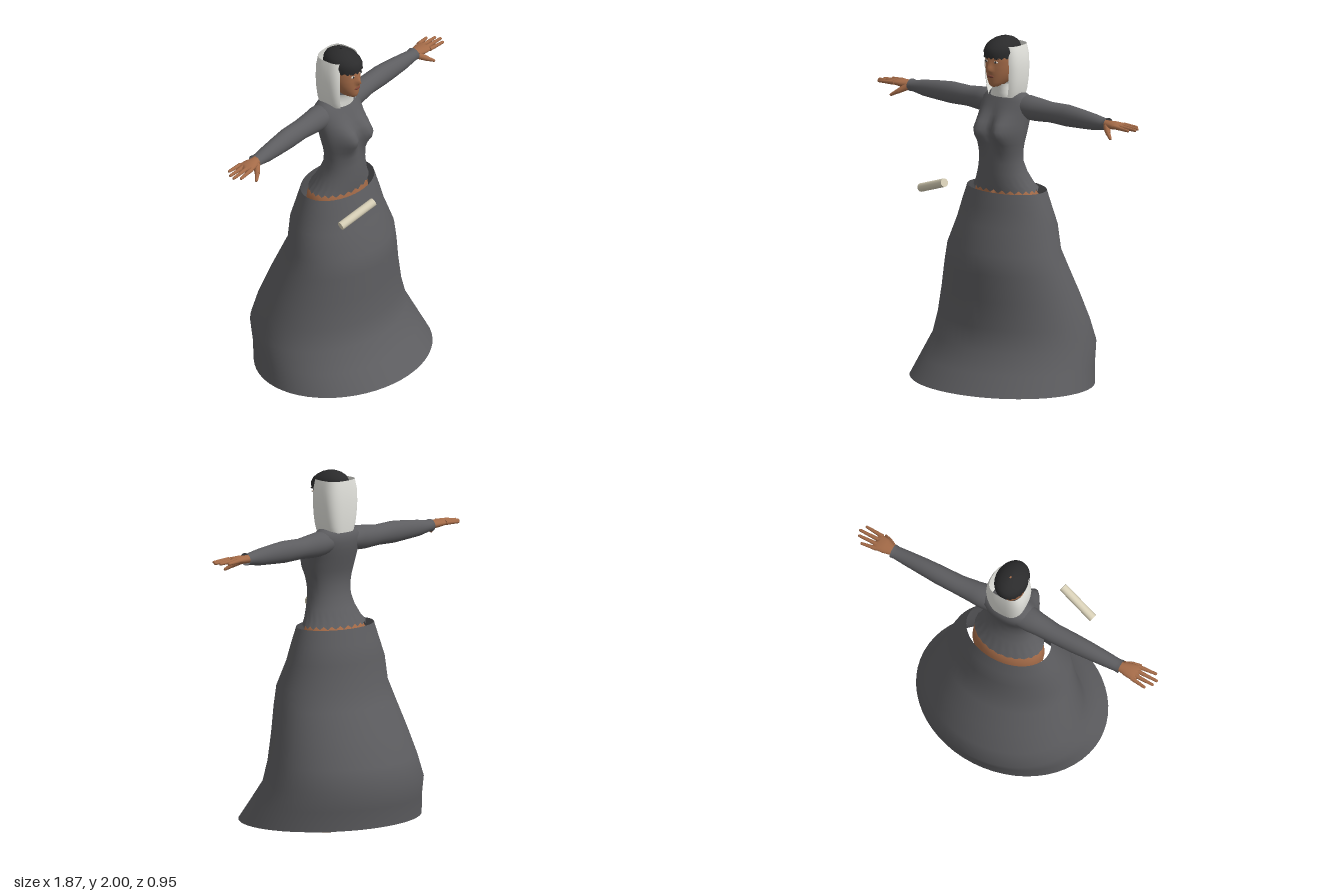
import * as THREE from 'three';

const mat = (name, color, side = THREE.FrontSide) => {
  const m = new THREE.MeshStandardMaterial({ color, side });
  m.name = name;
  return m;
};

// Skins a grid of points made by point(row, column); wraps around when closed
function skin(rows, cols, point, closed = true, caps = false) {
  const pos = [], idx = [], span = closed ? cols : cols - 1;
  for (let i = 0; i < rows; i++)
    for (let j = 0; j < cols; j++) pos.push(...point(i, j));
  for (let i = 0; i < rows - 1; i++)
    for (let j = 0; j < span; j++) {
      const a = i * cols + j, b = i * cols + (j + 1) % cols;
      idx.push(a, b, a + cols, b, b + cols, a + cols);
    }
  if (caps) {
    const last = (rows - 1) * cols;
    for (let j = 1; j < cols - 1; j++) idx.push(0, j + 1, j, last, last + j, last + j + 1);
  }
  const g = new THREE.BufferGeometry();
  g.setAttribute('position', new THREE.Float32BufferAttribute(pos, 3));
  g.setIndex(idx);
  g.computeVertexNormals();
  return g;
}

// Upright loft from rings of [y, half width, front z, back z, centre x]
function upright(rings, { cols = 32, side = 1, power = 1, bend = null, caps = false } = {}) {
  const soft = v => Math.sign(v) * Math.abs(v) ** power;
  return skin(rings.length, cols, (i, j) => {
    const [y, rx, zf, zb, cx = 0] = rings[i], a = j / cols * Math.PI * 2;
    const p = [side * cx + rx * soft(Math.sin(a)), y, (zf + zb) / 2 + (zf - zb) / 2 * soft(Math.cos(a))];
    if (bend) bend(p, i, j);
    return p;
  }, true, caps);
}

// Sideways loft from rings of [x, y, z, half height, half depth]
const sideways = (rings, side, cols = 20, caps = false) => skin(rings.length, cols, (i, j) => {
  const [x, y, z, ry, rz] = rings[i], a = j / cols * Math.PI * 2;
  return [side * x, y + ry * Math.cos(a), z + side * rz * Math.sin(a)];
}, true, caps);

const bump = (d, s) => Math.exp(-(d * d) / (s * s));

export function createModel() {
  const model = new THREE.Group();
  model.name = 'womanInLongDress';
  const cloth = mat('greyCloth', 0x5d5d60, THREE.DoubleSide);
  const linen = mat('whiteLinen', 0xe4e4de, THREE.DoubleSide);
  const flesh = mat('skin', 0xa46b48);
  const hairMat = mat('blackHair', 0x2b2b2c, THREE.DoubleSide);
  const leather = mat('brownLeather', 0x553c2a);
  const cream = mat('creamRod', 0xd9d1b8);
  const lipMat = mat('lips', 0x7f4536);
  const eyeMat = mat('eyeWhite', 0xcfc6bc);

  const add = (name, geometry, material, parent = model) => {
    const m = new THREE.Mesh(geometry, material);
    m.name = name;
    parent.add(m);
    return m;
  };
  const between = (name, a, b, r1, r2, material, parent = model) => {
    const p = new THREE.Vector3(...a), q = new THREE.Vector3(...b), d = q.clone().sub(p);
    const m = add(name, new THREE.CylinderGeometry(r2, r1, d.length(), 14), material, parent);
    m.position.copy(p).add(q).multiplyScalar(0.5);
    m.quaternion.setFromUnitVectors(new THREE.Vector3(0, 1, 0), d.normalize());
    return m;
  };
  const blob = (name, x, y, z, sx, sy, sz, material, parent = model) => {
    const m = add(name, new THREE.SphereGeometry(1, 14, 10), material, parent);
    m.position.set(x, y, z);
    m.scale.set(sx, sy, sz);
    return m;
  };

  // Skirt: open shell, kicked forward at the hem and full at the back
  add('skirt', upright([
    [0.06, 0.55, 0.475, -0.435], [0.17, 0.52, 0.39, -0.447], [0.28, 0.491, 0.31, -0.475],
    [0.4, 0.459, 0.282, -0.438], [0.55, 0.419, 0.272, -0.375], [0.7, 0.379, 0.27, -0.305],
    [0.81, 0.35, 0.26, -0.253], [0.95, 0.312, 0.2, -0.245], [1.05, 0.28, 0.175, -0.215],
    [1.14, 0.25, 0.15, -0.19]], { cols: 56 }), cloth);

  // Bodice with bust and ragged lower edge
  add('bodice', upright([
    [1.135, 0.205, 0.125, -0.15], [1.18, 0.18, 0.128, -0.13], [1.24, 0.152, 0.13, -0.097],
    [1.3, 0.137, 0.128, -0.073], [1.36, 0.139, 0.125, -0.065], [1.41, 0.147, 0.12, -0.068],
    [1.45, 0.154, 0.116, -0.078], [1.49, 0.158, 0.112, -0.09], [1.53, 0.16, 0.104, -0.102],
    [1.57, 0.165, 0.09, -0.113], [1.61, 0.17, 0.075, -0.12], [1.645, 0.165, 0.058, -0.118],
    [1.67, 0.135, 0.045, -0.105], [1.685, 0.1, 0.035, -0.085], [1.7, 0.06, 0.03, -0.06]], {
    cols: 48,
    bend: (p, i, j) => {
      if (i === 0) p[1] += (j % 2) * 0.018;
      if (p[2] > 0) p[2] += 0.072 * bump(Math.abs(p[0]) - 0.075, 0.06) * bump(p[1] - 1.485, 0.075);
    } }), cloth);

  // Hips hidden inside the skirt
  add('hips', upright([
    [0.82, 0.1, 0.05, -0.08], [0.88, 0.19, 0.11, -0.15], [1.0, 0.212, 0.125, -0.17],
    [1.1, 0.205, 0.12, -0.16], [1.17, 0.17, 0.11, -0.12]], { caps: true }), flesh);

  for (const side of [1, -1]) {
    const label = side > 0 ? 'left' : 'right';

    // Leg and shoe
    add(label + 'Leg', upright([
      [0.05, 0.036, -0.03, -0.105, 0.14], [0.12, 0.035, -0.03, -0.105, 0.14],
      [0.3, 0.052, -0.005, -0.12, 0.135], [0.48, 0.05, 0.02, -0.09, 0.125],
      [0.7, 0.078, 0.06, -0.1, 0.115], [0.95, 0.1, 0.09, -0.13, 0.105]],
    { cols: 20, side }), flesh);
    add(label + 'Shoe', upright([
      [0, 0.058, 0.16, -0.118, 0.14], [0.025, 0.064, 0.166, -0.122, 0.14],
      [0.045, 0.056, 0.145, -0.12, 0.14], [0.06, 0.048, 0.08, -0.12, 0.14],
      [0.08, 0.042, 0, -0.118, 0.14], [0.11, 0.042, -0.018, -0.115, 0.14]],
    { cols: 24, side, caps: true, bend: p => { p[0] += side * 0.07 * (p[2] - 0.02); } }), leather);

    // Sleeve
    add(label + 'Sleeve', sideways([
      [0.08, 1.61, -0.035, 0.06, 0.07], [0.15, 1.608, -0.038, 0.068, 0.07],
      [0.2, 1.605, -0.04, 0.066, 0.063], [0.3, 1.603, -0.045, 0.057, 0.055],
      [0.42, 1.603, -0.045, 0.061, 0.053], [0.52, 1.601, -0.043, 0.054, 0.048],
      [0.62, 1.598, -0.042, 0.045, 0.042], [0.69, 1.598, -0.042, 0.032, 0.037],
      [0.715, 1.6, -0.042, 0.035, 0.04]], side, 24), cloth);

    // Hand: palm, four fingers, thumb
    const hand = new THREE.Group();
    hand.name = label + 'Hand';
    model.add(hand);
    add('palm', sideways([
      [0.67, 1.6, -0.042, 0.022, 0.026], [0.72, 1.6, -0.041, 0.022, 0.03],
      [0.76, 1.603, -0.038, 0.022, 0.043], [0.8, 1.605, -0.037, 0.017, 0.048],
      [0.825, 1.603, -0.038, 0.009, 0.043]], side, 18, true), flesh, hand);
    const fingers = [[0.003, 0.012, 0.905], [-0.024, -0.022, 0.928], [-0.051, -0.053, 0.918], [-0.076, -0.087, 0.885]];
    for (const [z0, z1, x1] of fingers) {
      between('finger', [side * 0.8, 1.606, z0], [side * x1, 1.602, z1], 0.0125, 0.008, flesh, hand);
      blob('fingertip', side * x1, 1.602, z1, 0.008, 0.008, 0.008, flesh, hand);
    }
    between('thumbBase', [side * 0.725, 1.592, -0.02], [side * 0.765, 1.565, 0.015], 0.02, 0.014, flesh, hand);
    between('thumb', [side * 0.76, 1.568, 0.012], [side * 0.797, 1.545, 0.034], 0.014, 0.008, flesh, hand);
    blob('thumbTip', side * 0.797, 1.545, 0.034, 0.008, 0.008, 0.008, flesh, hand);

    // Eye and brow
    blob(label + 'Eye', side * 0.034, 1.872, 0.114, 0.015, 0.006, 0.006, eyeMat);
    blob(label + 'Pupil', side * 0.034, 1.872, 0.117, 0.007, 0.006, 0.005, hairMat);
    blob(label + 'Brow', side * 0.036, 1.892, 0.113, 0.022, 0.004, 0.007, hairMat).rotation.z = side * 0.12;
  }

  // Head with nose and brow hollows
  add('head', upright([
    [1.728, 0.018, 0.105, 0.05], [1.737, 0.035, 0.115, 0.01], [1.755, 0.052, 0.12, -0.03],
    [1.78, 0.067, 0.121, -0.055], [1.8, 0.075, 0.122, -0.065], [1.815, 0.079, 0.122, -0.07],
    [1.828, 0.082, 0.122, -0.075], [1.845, 0.085, 0.122, -0.08], [1.87, 0.087, 0.12, -0.085],
    [1.9, 0.087, 0.122, -0.088], [1.94, 0.08, 0.11, -0.085], [1.96, 0.06, 0.08, -0.06]], {
    cols: 48, caps: true,
    bend: p => {
      if (p[2] > 0.06) p[2] += 0.026 * bump(p[0], 0.014) * bump(p[1] - 1.828, p[1] > 1.828 ? 0.035 : 0.014);
    } }), flesh);
  blob('lips', 0, 1.789, 0.12, 0.024, 0.008, 0.007, lipMat);

  // Hair with a fringe
  add('hair', upright([
    [1.9, 0.09, 0.134, -0.095], [1.925, 0.092, 0.137, -0.1], [1.95, 0.086, 0.124, -0.097],
    [1.97, 0.073, 0.1, -0.085], [1.987, 0.05, 0.068, -0.06], [1.997, 0.024, 0.035, -0.028],
    [2, 0.005, 0.01, -0.005]], {
    cols: 40, caps: false,
    bend: (p, i, j) => { if (i === 0 && j % 2) p[1] -= 0.012; } }), hairMat);

  // Collar around the neck, dipping at the front
  add('collar', upright([
    [1.665, 0.088, 0.066, -0.075], [1.69, 0.074, 0.07, -0.065], [1.72, 0.062, 0.074, -0.055],
    [1.755, 0.062, 0.085, -0.05]], {
    bend: (p, i) => { if (i === 3 && p[2] > 0) p[1] -= 0.012; } }), linen);

  // Veil wrapped around the sides and back of the head
  const veil = [[1.665, 0.092, 0.088], [1.7, 0.104, 0.092], [1.76, 0.113, 0.097], [1.83, 0.118, 0.099],
    [1.9, 0.114, 0.098], [1.955, 0.1, 0.092]];
  const boxy = v => Math.sign(v) * Math.abs(v) ** 0.65;
  add('veil', skin(veil.length, 37, (i, j) => {
    const [y, rx, rz] = veil[i], a = (38 + j / 36 * 284) * Math.PI / 180;
    return [rx * boxy(Math.sin(a)), y, -0.02 + rz * boxy(Math.cos(a))];
  }, false), linen);

  // Loose rod floating in front of the right hip
  between('rod', [-0.363, 1.132, 0.285], [-0.143, 1.205, 0.343], 0.024, 0.024, cream);

  return model;
}
